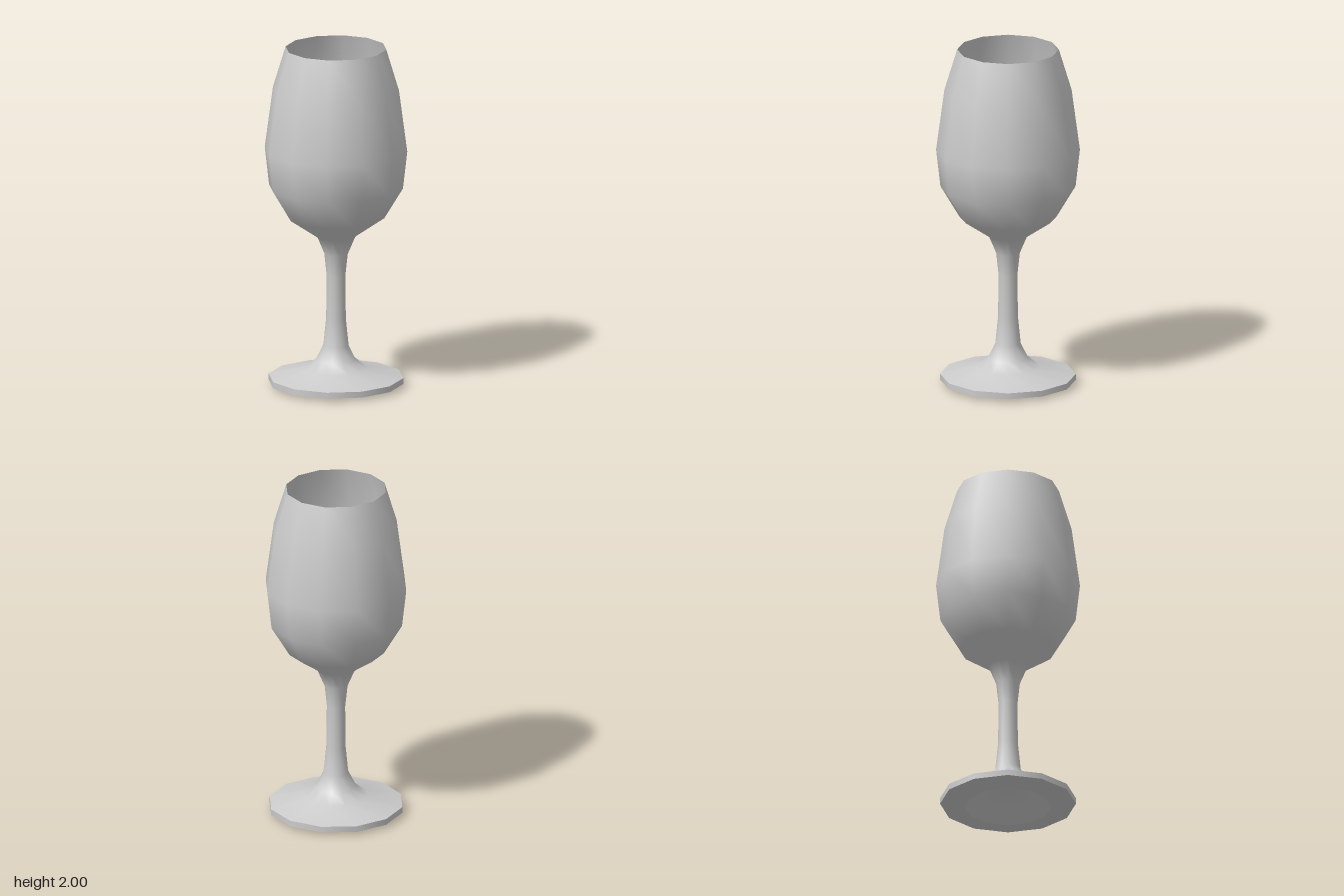
import * as THREE from 'three';

const SIDES = 12;

// Revolve a [radius, height] profile; profiles run so that faces point outwards.
function revolve(name, profile, material) {
  const points = profile.map(([r, y]) => new THREE.Vector2(r, y));
  const mesh = new THREE.Mesh(new THREE.LatheGeometry(points, SIDES), material);
  mesh.name = name;
  return mesh;
}

export function createModel() {
  const group = new THREE.Group();
  group.name = 'wineGlass';
  const material = new THREE.MeshStandardMaterial({ color: 0xcccccc });

  // Outer wall of the bowl, from the stem joint up to the rim
  const bowl = [
    [0.112, 0.885], [0.28, 1.0], [0.388, 1.18],
    [0.413, 1.4], [0.365, 1.76], [0.292, 2.0],
  ];

  // Foot top, stem and bowl form one continuous smooth skin
  const skin = [
    [0.39, 0.055], [0.185, 0.1], [0.115, 0.155], [0.073, 0.24],
    [0.057, 0.4], [0.054, 0.65], [0.068, 0.78], ...bowl,
  ];
  group.add(revolve('footStemAndBowl', skin, material));

  // Thin inner wall, down from the rim to the bottom of the bowl
  const wall = 0.006;
  const inside = bowl.map(([r, y], i) =>
    i === bowl.length - 1 ? [r, y] : [r - wall, y + wall]).reverse();
  group.add(revolve('bowlInterior', [...inside, [0, 0.87]], material));

  // Narrow edge of the foot
  group.add(revolve('footEdge', [[0.39, 0.02], [0.39, 0.055]], material));

  // Underside: flat standing ring, then a hollow rising towards the stem
  group.add(revolve('footRing', [[0.25, 0], [0.39, 0.02]], material));
  group.add(revolve('footHollow', [[0, 0.13], [0.06, 0.115], [0.14, 0.07], [0.25, 0]], material));

  return group;
}
